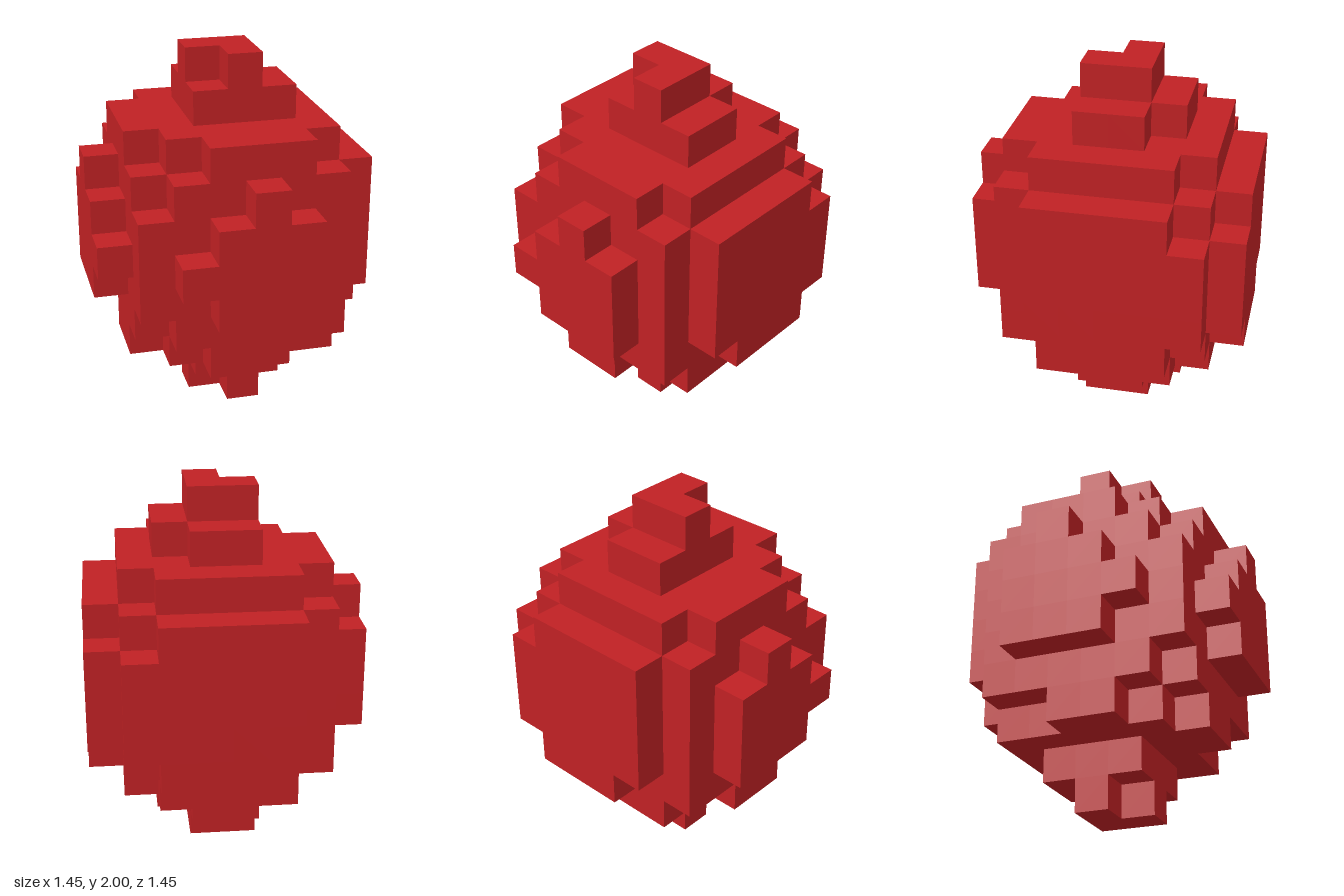
import * as THREE from 'three';

const U = 2 / 11; // block size: the model is 11 layers tall

// Each layer maps a row z to its run of blocks [first x, last x].
const tip = { '-1': [-1, 0], 0: [0, 0] };
const collar = { '-2': [-1, 0], '-1': [-1, 1], 0: [-1, 1] };
const waist = {
  '-4': [-2, 2], '-3': [-3, 3], '-2': [-4, 3], '-1': [-4, 3],
  0: [-4, 3], 1: [-3, 3], 2: [-3, 2], 3: [-1, 1],
};
const layers = [
  tip,
  collar,
  { '-3': [-2, 1], '-2': [-2, 2], '-1': [-3, 2], 0: [-3, 2], 1: [-2, 2], 2: [-1, 0] },
  { '-4': [-1, 1], '-3': [-3, 2], '-2': [-3, 3], '-1': [-3, 3], 0: [-3, 3], 1: [-3, 2], 2: [-2, 2] },
  waist,
  { ...waist, 1: [-4, 3], 3: [-2, 1] },
  waist,
  {
    '-4': [-2, 1], '-3': [-3, 2], '-2': [-3, 3], '-1': [-4, 3],
    0: [-3, 3], 1: [-3, 3], 2: [-2, 2], 3: [0, 0],
  },
  { '-3': [-2, 1], '-2': [-3, 2], '-1': [-3, 2], 0: [-3, 2], 1: [-2, 2], 2: [-1, 1] },
  collar,
  tip,
];

function filled(x, y, z) {
  const run = layers[y]?.[z];
  return !!run && x >= run[0] && x <= run[1];
}

// Outer faces of the blocks in layers y0 to y1.
function blockGeometry(y0, y1) {
  const positions = [];
  const normals = [];
  const addFace = (cell, axis, sign) => {
    const a = (axis + 1) % 3;
    const b = (axis + 2) % 3;
    const corners = [[0, 0], [1, 0], [1, 1], [0, 1]].map(([s, t]) => {
      const p = [...cell];
      p[axis] += sign > 0 ? 1 : 0;
      p[a] += s;
      p[b] += t;
      return p.map((v) => v * U);
    });
    const order = sign > 0 ? [0, 1, 2, 0, 2, 3] : [0, 2, 1, 0, 3, 2];
    const normal = [0, 0, 0];
    normal[axis] = sign;
    for (const i of order) {
      positions.push(...corners[i]);
      normals.push(...normal);
    }
  };
  for (let y = y0; y <= y1; y++) {
    for (let z = -4; z <= 3; z++) {
      for (let x = -4; x <= 3; x++) {
        if (!filled(x, y, z)) continue;
        for (let axis = 0; axis < 3; axis++) {
          for (const sign of [-1, 1]) {
            const next = [x, y, z];
            next[axis] += sign;
            if (!filled(...next)) addFace([x, y, z], axis, sign);
          }
        }
      }
    }
  }
  const geometry = new THREE.BufferGeometry();
  geometry.setAttribute('position', new THREE.Float32BufferAttribute(positions, 3));
  geometry.setAttribute('normal', new THREE.Float32BufferAttribute(normals, 3));
  return geometry;
}

export function createModel() {
  const group = new THREE.Group();
  group.name = 'blockyOrb';
  const red = new THREE.MeshStandardMaterial({ color: 0xc02124 });
  red.name = 'red';

  const parts = [['bottomPoint', 0, 1], ['body', 2, 8], ['topPoint', 9, 10]];
  for (const [name, y0, y1] of parts) {
    const mesh = new THREE.Mesh(blockGeometry(y0, y1), red);
    mesh.name = name;
    group.add(mesh);
  }
  return group;
}
